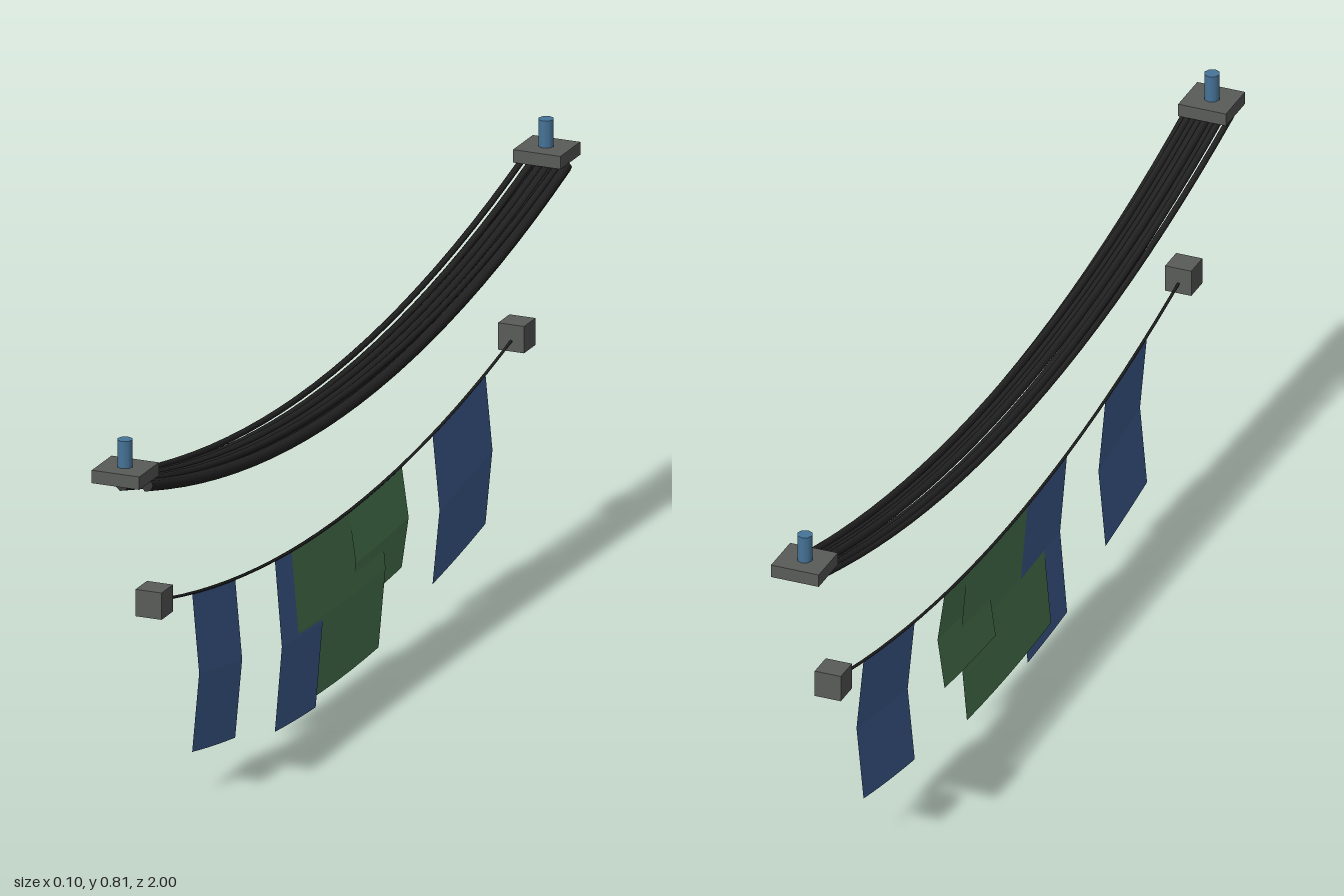
import * as THREE from 'three';

const mat = (name, color, extra = {}) => {
  const m = new THREE.MeshStandardMaterial({ color, ...extra });
  m.name = name;
  return m;
};

export function createModel() {
  const model = new THREE.Group();
  const grey = mat('grey metal', 0x5a5c5a);
  const steel = mat('blue steel', 0x47759a);
  const black = mat('black rubber', 0x222222);
  const blue = mat('blue cloth', 0x42639a, { side: THREE.DoubleSide });
  const green = mat('green cloth', 0x4f7f56, { side: THREE.DoubleSide });

  const add = (name, geo, material, x = 0, y = 0, z = 0) => {
    const mesh = new THREE.Mesh(geo, material);
    mesh.name = name;
    mesh.position.set(x, y, z);
    model.add(mesh);
    return mesh;
  };

  // Sagging curve between two ends: t runs 0..1 from front to back
  const sagCurve = (x, z0, y0, z1, y1, mid) => {
    const pts = [];
    const sag = (y0 + y1) / 2 - mid;
    for (let i = 0; i <= 16; i++) {
      const t = i / 16;
      pts.push(new THREE.Vector3(x, y0 + (y1 - y0) * t - sag * 4 * t * (1 - t), z0 + (z1 - z0) * t));
    }
    return new THREE.CatmullRomCurve3(pts);
  };
  const rope = (name, curve, r, sides) => {
    add(name, new THREE.TubeGeometry(curve, 24, r, sides), black);
    // closed ends
    for (const end of [0, 1]) {
      const p = curve.getPointAt(end);
      const cap = add(name + 'End', new THREE.CircleGeometry(r, sides), black, p.x, p.y, p.z);
      cap.lookAt(p.clone().addScaledVector(curve.getTangentAt(end), end ? 1 : -1));
    }
  };

  // End plates with bolts, the back pair slightly higher
  for (const [z, y] of [[0.955, 0.729], [-0.955, 0.75]]) {
    add('endPlate', new THREE.BoxGeometry(0.095, 0.025, 0.09), grey, -0.003, y, z);
    add('bolt', new THREE.CylinderGeometry(0.015, 0.015, 0.066, 8), steel, -0.004, y + 0.032, z);
  }

  // Bundle of thick cables: x, radius, height at mid span
  const cables = [
    [-0.044, 0.006, 0.593], [-0.026, 0.007, 0.588], [-0.012, 0.013, 0.569],
    [-0.004, 0.008, 0.595], [0.008, 0.009, 0.588], [0.022, 0.009, 0.584],
    [0.03, 0.007, 0.598], [0.038, 0.012, 0.578],
  ];
  for (const [x, r, mid] of cables) {
    const lift = (mid - 0.585) * 0.5;
    rope('cable', sagCurve(x, 0.95, 0.712 + lift, -0.95, 0.734 + lift, mid), r, 7);
  }

  // Clothes line between two wall blocks
  const lineX = -0.004;
  const lineY = z => 0.335 + 0.105 * (z / 0.822) ** 2;
  for (const z of [0.822, -0.822]) {
    add('lineBlock', new THREE.BoxGeometry(0.052, 0.052, 0.052), grey, lineX, 0.44, z);
  }
  rope('clothesLine', sagCurve(lineX, 0.822, 0.44, -0.822, 0.44, 0.335), 0.003, 5);

  // Cloth hanging from the line, following its sag and folded once across the middle
  const cloth = (name, z0, z1, length, material) => {
    const geo = new THREE.PlaneGeometry(1, 1, 6, 2);
    const p = geo.attributes.position;
    for (let i = 0; i < p.count; i++) {
      const z = z0 + (z1 - z0) * (p.getX(i) + 0.5);
      const drop = 0.5 - p.getY(i);
      const fold = 1 - Math.abs(drop - 0.5) * 2;
      p.setXYZ(i, lineX + 0.014 * fold, lineY(z) - drop * length, z);
    }
    const flat = geo.toNonIndexed();
    flat.computeVertexNormals();
    add(name, flat, material);
  };
  cloth('frontTowel', 0.65, 0.455, 0.308, blue);
  cloth('middleTowel', 0.275, 0.09, 0.333, blue);
  cloth('wideSheet', 0.2, -0.195, 0.311, green);
  cloth('shortSheet', -0.06, -0.3, 0.197, green);
  cloth('backTowel', -0.44, -0.68, 0.29, blue);

  return model;
}
